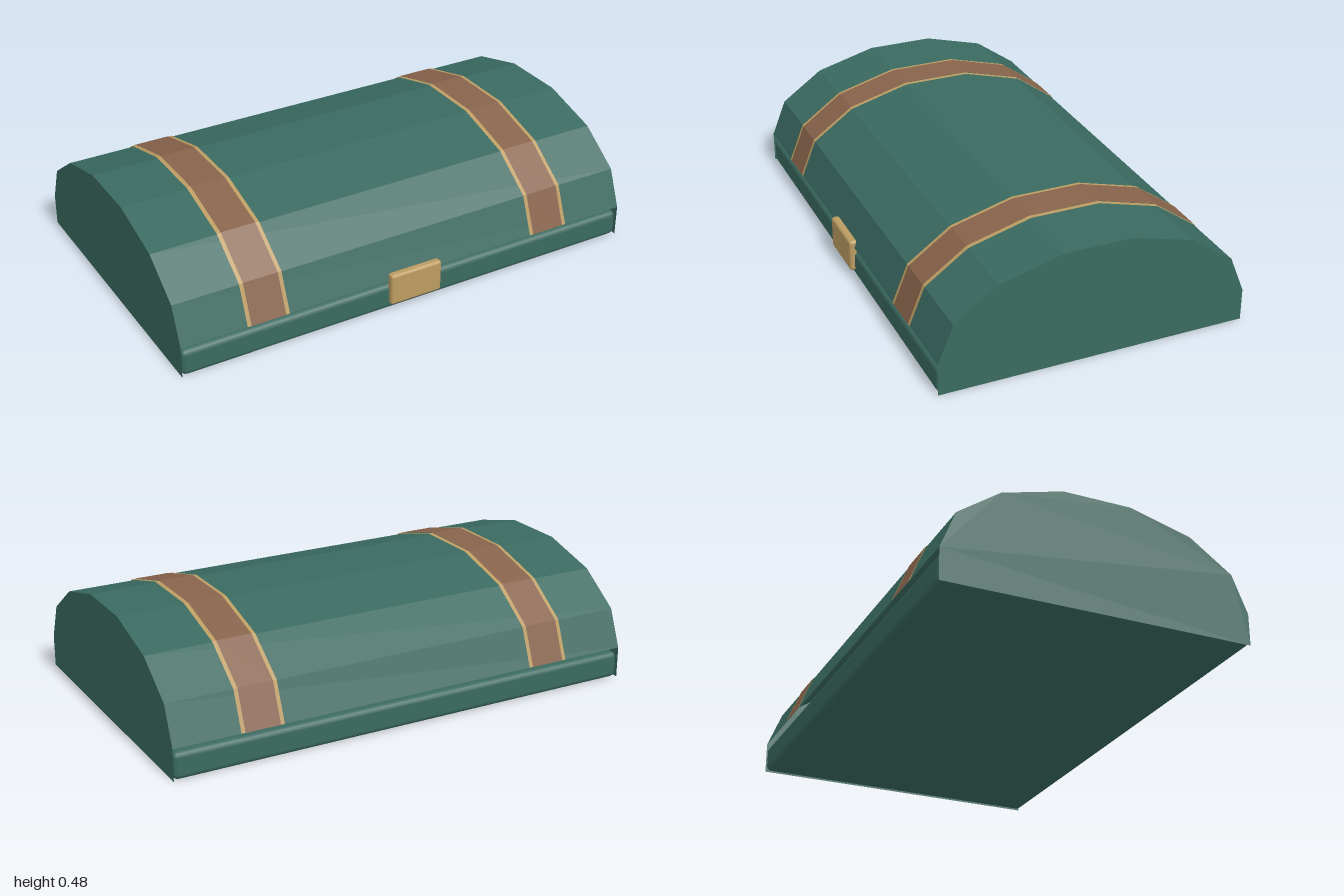
import * as THREE from 'three';
import { RoundedBoxGeometry } from 'three/addons/geometries/RoundedBoxGeometry.js';

const SEAM = 0.13;        // height where the lid starts
const RADIUS_Z = 0.6265;  // half depth of the lid
const RISE = 0.351;       // arch height of the lid
const MID_Z = -0.009;     // the trunk sits slightly back to make room for the latch
const FACETS = 7;

export function createModel() {
  const make = (name, color, side) => Object.assign(new THREE.MeshStandardMaterial({ color, side }), { name });
  const green = make('green', 0x3a6a60, THREE.DoubleSide);
  const leather = make('brown leather', 0x87634b, THREE.DoubleSide);
  const brass = make('brass', 0xbc9c62, THREE.DoubleSide);

  const model = new THREE.Group();
  model.name = 'trunk';
  const add = (name, geometry, material, x, y, z, parent = model) => {
    const mesh = new THREE.Mesh(geometry, material);
    mesh.name = name;
    mesh.position.set(x, y, z);
    parent.add(mesh);
    return mesh;
  };

  // Faceted open half-barrel along x, raised by a small offset
  const arch = (width, offset) => {
    let g = new THREE.CylinderGeometry(1, 1, width, FACETS, 1, true, 0, Math.PI);
    g.rotateZ(Math.PI / 2);
    g.scale(1, RISE + offset, RADIUS_Z + offset * 0.3);
    g = g.toNonIndexed();
    g.computeVertexNormals();
    return g;
  };

  // Base tray with softened edges, and the arched lid above the seam
  add('base', new RoundedBoxGeometry(1.996, 0.11, RADIUS_Z * 2, 2, 0.022), green, 0, 0.055, MID_Z);
  add('lid', arch(2, 0), green, 0, SEAM, MID_Z);

  // Flat end panels, from the floor up to the arch
  const profile = new THREE.Shape();
  profile.moveTo(-RADIUS_Z, 0);
  for (let i = 0; i <= FACETS; i++) {
    const a = Math.PI * (1 - i / FACETS);
    profile.lineTo(Math.cos(a) * RADIUS_Z, SEAM + Math.sin(a) * RISE);
  }
  profile.lineTo(RADIUS_Z, 0);
  for (const side of [-1, 1]) {
    const panel = add(side > 0 ? 'leftEnd' : 'rightEnd', new THREE.ShapeGeometry(profile), green, side, 0, MID_Z);
    panel.rotation.y = side * Math.PI / 2;
  }

  // Leather straps with brass edging
  for (const side of [-1, 1]) {
    const strap = new THREE.Group();
    strap.name = side > 0 ? 'leftStrap' : 'rightStrap';
    strap.position.set(side * 0.64, SEAM, MID_Z);
    model.add(strap);
    add('strapBand', arch(0.145, 0.007), leather, 0, 0, 0, strap);
    for (const edge of [-1, 1]) {
      add('strapEdging', arch(0.018, 0.005), brass, edge * 0.0795, 0, 0, strap);
    }
  }

  // Latch plate bridging the seam
  add('latch', new RoundedBoxGeometry(0.23, 0.135, 0.036, 2, 0.012), brass, 0, 0.0925, 0.6195);

  return model;
}
